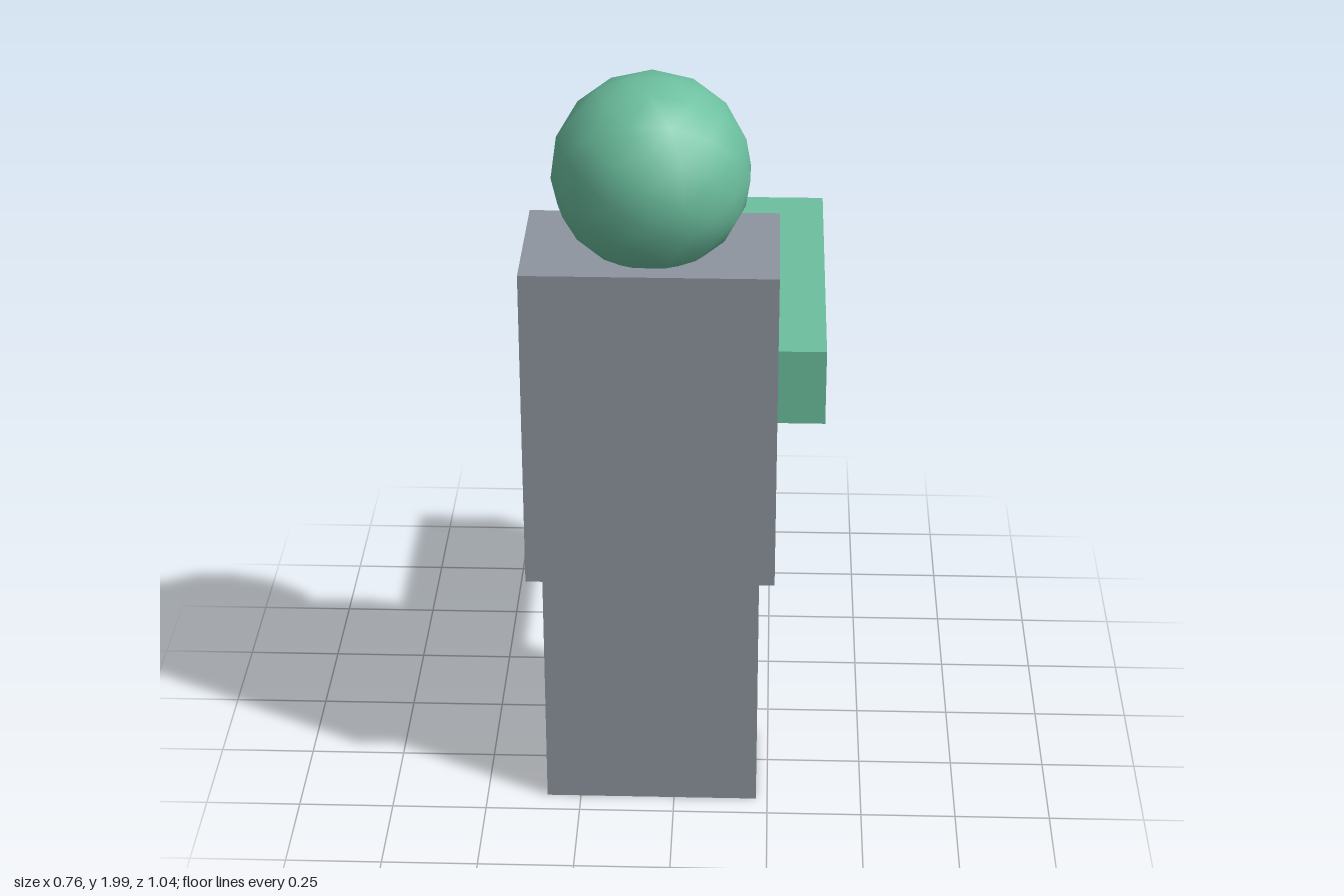
import * as THREE from 'three';

const slate = new THREE.MeshStandardMaterial({ color: 0x8d959e });
const green = new THREE.MeshStandardMaterial({ color: 0x6cbf9f });

// Box given by its lower and upper corners
function block(name, material, [x0, y0, z0], [x1, y1, z1]) {
  const mesh = new THREE.Mesh(new THREE.BoxGeometry(x1 - x0, y1 - y0, z1 - z0), material);
  mesh.position.set((x0 + x1) / 2, (y0 + y1) / 2, (z0 + z1) / 2);
  mesh.name = name;
  return mesh;
}

export function createModel() {
  const model = new THREE.Group();
  model.name = 'blockFigure';

  // Legs as one block, with the wider torso on top
  model.add(block('legs', slate, [-0.34, 0, 0.115], [0.22, 0.69, 0.435]));
  model.add(block('torso', slate, [-0.38, 0.69, 0.075], [0.26, 1.555, 0.475]));

  // Single arm, sunk into the torso's left side and reaching backwards
  model.add(block('arm', green, [0.14, 1.14, -0.525], [0.38, 1.34, 0.435]));

  // Low-poly round head with smooth normals, sunk slightly into the torso
  const head = new THREE.Mesh(new THREE.IcosahedronGeometry(0.25, 2), green);
  head.position.set(-0.06, 1.75, 0.275);
  head.name = 'head';
  model.add(head);

  return model;
}
